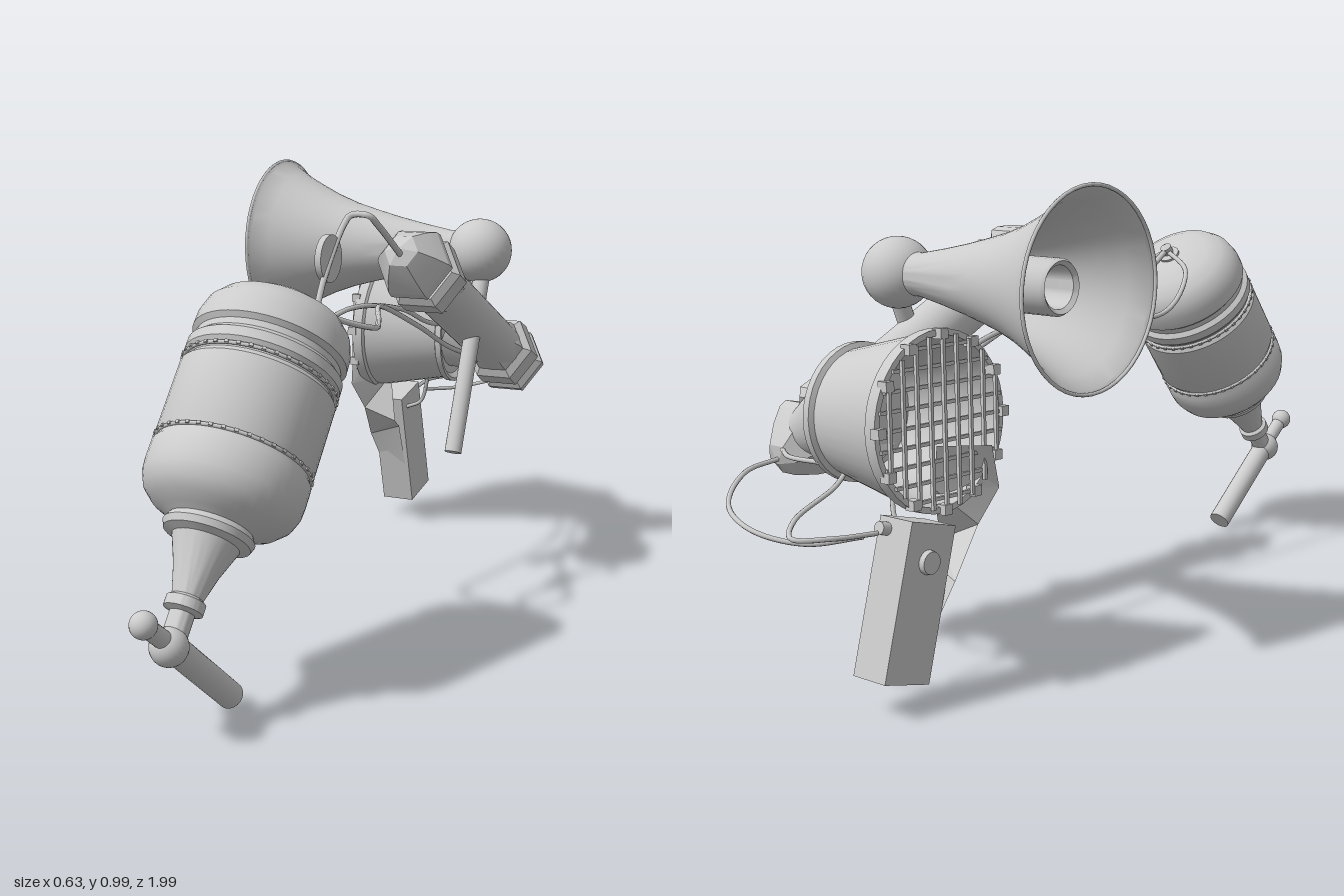
import * as THREE from 'three';
import { toCreasedNormals } from 'three/addons/utils/BufferGeometryUtils.js';

const V = (x, y, z) => new THREE.Vector3(x, y, z);
const UP = V(0, 1, 0);
const grey = new THREE.MeshStandardMaterial({ color: 0xcccccc });
const thin = new THREE.MeshStandardMaterial({ color: 0xcccccc, side: THREE.DoubleSide });

export function createModel() {
  const model = new THREE.Group();

  const add = (name, geo, pos = V(0, 0, 0), mat = grey, parent = model) => {
    const m = new THREE.Mesh(geo, mat);
    m.name = name;
    m.position.copy(pos);
    parent.add(m);
    return m;
  };
  // group whose local y axis runs from a towards b
  const axisGroup = (name, a, b) => {
    const g = new THREE.Group();
    g.name = name;
    g.position.copy(a);
    g.quaternion.setFromUnitVectors(UP, b.clone().sub(a).normalize());
    model.add(g);
    return g;
  };
  const lathe = (pts, sides = 40, crease = 0.6) =>
    toCreasedNormals(new THREE.LatheGeometry(pts.map(p => new THREE.Vector2(...p)), sides), crease);
  const rod = (name, a, b, r, r2 = r, sides = 20) => {
    const g = axisGroup(name, a, b), len = a.distanceTo(b);
    add(name, new THREE.CylinderGeometry(r2, r, len, sides), V(0, len / 2, 0), grey, g);
  };
  const ball = (name, p, r) => add(name, new THREE.SphereGeometry(r, 28, 18), p);
  const cable = (name, pts, r = 0.006, type = 'centripetal') =>
    add(name, new THREE.TubeGeometry(
      new THREE.CatmullRomCurve3(pts.map(p => V(...p)), false, type), pts.length * 10, r, 8));

  // Tank: domed bottle tapering to a nozzle
  const tank = axisGroup('tank', V(0.152, 0.18, 0.885), V(0.152, 0.777, 0.42));
  add('tankBody', lathe([
    [0, 0], [0.024, 0.02], [0.024, 0.075], [0.038, 0.08], [0.038, 0.1], [0.03, 0.106], [0.045, 0.16],
    [0.066, 0.215], [0.085, 0.222], [0.09, 0.235], [0.083, 0.247], [0.1, 0.256], [0.125, 0.268],
    [0.146, 0.288], [0.156, 0.312], [0.158, 0.335], [0.158, 0.37], [0.152, 0.38], [0.152, 0.392], [0.157, 0.4],
    [0.157, 0.54], [0.15, 0.55], [0.15, 0.562], [0.157, 0.57], [0.157, 0.59], [0.147, 0.6], [0.147, 0.613],
    [0.157, 0.622], [0.156, 0.65], [0.147, 0.68], [0.128, 0.703], [0.095, 0.721], [0.05, 0.731], [0, 0.734],
  ], 48), V(0, 0, 0), grey, tank);
  add('tankKnob', lathe([[0.026, 0.725], [0.026, 0.738], [0.014, 0.742], [0.014, 0.76], [0, 0.768]], 20),
    V(0, 0, 0), grey, tank);
  for (const s of [0.386, 0.556]) {
    const band = add('tankBand', new THREE.TorusGeometry(0.153, 0.004, 8, 48), V(0, s, 0), grey, tank);
    band.rotation.x = Math.PI / 2;
    // small studs around the band
    for (let i = 0; i < 40; i++) {
      const a = i / 40 * Math.PI * 2;
      add('stud', new THREE.BoxGeometry(0.008, 0.006, 0.008),
        V(Math.sin(a) * 0.155, s, Math.cos(a) * 0.155), grey, tank).rotation.y = a;
    }
  }

  // Crossbar handle below the nozzle
  ball('nozzleJoint', V(0.152, 0.19, 0.885), 0.037);
  ball('handleKnob', V(0.152, 0.256, 0.967), 0.026);
  rod('handleNeck', V(0.152, 0.256, 0.967), V(0.152, 0.195, 0.885), 0.018);
  rod('handleGrip', V(0.152, 0.195, 0.885), V(0.152, 0.023, 0.668), 0.027);

  // Arm: round shaft between matching six-sided end pieces
  const arm = axisGroup('arm', V(0.21, 0.629, -0.385), V(0.21, 0.829, 0.02));
  add('armShaft', lathe([[0, -0.31], [0.062, -0.3], [0.062, 0.3], [0, 0.31]], 28), V(0, 0, 0), grey, arm);
  for (const s of [1, -1]) {
    const end = new THREE.Group();
    end.name = 'armEnd';
    if (s < 0) end.rotation.x = Math.PI;
    arm.add(end);
    const hex = (name, pts) => {
      add(name, lathe(pts, 6, 0.3), V(0, 0, 0), grey, end).rotation.y = Math.PI / 2;
    };
    hex('armCollar', [[0.06, 0.19], [0.068, 0.21], [0.07, 0.235], [0.088, 0.25], [0.09, 0.3], [0.075, 0.316], [0, 0.318]]);
    hex('armCap', [[0, 0.315], [0.062, 0.316], [0.088, 0.345], [0.086, 0.365], [0.068, 0.4], [0.04, 0.438], [0, 0.453]]);
  }

  // Horn with inner return tube, held by a ball and rod
  const horn = axisGroup('horn', V(0.22, 0.783, -0.44), V(-0.32, 0.783, -0.44));
  const flare = [[0.046, 0.05], [0.047, 0.08], [0.06, 0.15], [0.075, 0.22], [0.09, 0.28], [0.105, 0.335],
    [0.125, 0.39], [0.148, 0.44], [0.172, 0.488], [0.196, 0.525]];
  add('hornBell', lathe([...flare, [0.204, 0.53], [0.205, 0.536]], 48), V(0, 0, 0), thin, horn);
  add('hornRim', new THREE.TorusGeometry(0.203, 0.004, 8, 48), V(0, 0.533, 0), grey, horn).rotation.x = Math.PI / 2;
  add('hornInnerTube', lathe([[0.045, 0.26], [0.058, 0.27], [0.058, 0.45], [0.053, 0.458], [0.044, 0.45], [0.04, 0.3], [0, 0.3]], 28),
    V(0, 0, 0), thin, horn);
  ball('hornBall', V(0.22, 0.783, -0.44), 0.077);
  rod('hornRod', V(0.23, 0.74, -0.435), V(0.23, 0.32, -0.262), 0.02);

  // Lamp with open face and wire guard
  const lamp = axisGroup('lamp', V(0.06, 0.543, -0.715), V(-0.17, 0.55, -0.71));
  add('lampShell', lathe([
    [0, 0.012], [0.118, 0.012], [0.13, 0], [0.138, 0], [0.138, 0.015], [0.128, 0.02], [0.168, 0.2], [0.175, 0.205],
    [0.175, 0.23], [0.163, 0.23], [0.158, 0.2], [0.115, 0.03], [0, 0.03],
  ], 40), V(0, 0, 0), thin, lamp);
  for (let i = -4; i <= 4; i++) {
    const o = i * 0.036, len = 2 * Math.sqrt(0.167 ** 2 - o * o);
    add('guardWire', new THREE.BoxGeometry(0.007, 0.007, len), V(o, 0.232, 0), grey, lamp);
    add('guardWire', new THREE.BoxGeometry(len, 0.007, 0.007), V(0, 0.238, o), grey, lamp);
  }
  for (let i = 0; i < 12; i++) {
    const a = i / 12 * Math.PI * 2;
    add('guardClip', new THREE.BoxGeometry(0.02, 0.022, 0.02),
      V(Math.cos(a) * 0.167, 0.232, Math.sin(a) * 0.167), grey, lamp);
  }
  rod('lampMount', V(0.055, 0.543, -0.715), V(0.2, 0.485, -0.72), 0.105, 0.05, 28);

  // Control box with knob and plug
  const box = new THREE.Group();
  box.name = 'controlBox';
  box.position.set(-0.133, 0.212, -0.78);
  box.rotation.x = 0.263;
  model.add(box);
  add('boxBody', new THREE.BoxGeometry(0.085, 0.306, 0.118), V(0, 0, 0), grey, box);
  add('boxKnob', new THREE.CylinderGeometry(0.022, 0.025, 0.018, 20), V(-0.045, 0.08, 0), grey, box).rotation.z = Math.PI / 2;
  add('boxPlug', new THREE.CylinderGeometry(0.013, 0.013, 0.03, 16), V(0.02, 0.13, -0.065), grey, box).rotation.x = Math.PI / 2;

  // Creased strap hanging from the lamp to the box
  const rows = [
    [-0.195, 0.49, -0.6, -0.135, 0.495, -0.69],
    [-0.185, 0.4, -0.57, -0.125, 0.41, -0.69],
    [-0.165, 0.33, -0.61, -0.09, 0.295, -0.64],
    [-0.188, 0.24, -0.7, -0.1, 0.27, -0.69],
    [-0.17, 0.155, -0.74, -0.1, 0.14, -0.74],
  ];
  const strap = new THREE.BufferGeometry(), idx = [];
  strap.setAttribute('position', new THREE.Float32BufferAttribute(rows.flat(), 3));
  for (let i = 0; i < rows.length - 1; i++) {
    const k = i * 2;
    idx.push(k, k + 2, k + 1, k + 1, k + 2, k + 3);
  }
  strap.setIndex(idx);
  add('strap', toCreasedNormals(strap, 0.3), V(0, 0, 0), thin);

  // Hook wire with a disc, linking tank and arm
  cable('hookWire', [[0.152, 0.775, 0.425], [0.152, 0.74, 0.37], [0.152, 0.71, 0.32], [0.15, 0.79, 0.26],
    [0.152, 0.89, 0.175], [0.162, 0.91, 0.16], [0.203, 0.91, 0.158], [0.212, 0.89, 0.135], [0.212, 0.8, -0.01]], 0.007);
  add('hookDisc', new THREE.CylinderGeometry(0.05, 0.05, 0.014, 28), V(0.145, 0.825, 0.232)).rotation.z = Math.PI / 2;

  // Long cables from the tank to the rear fittings
  cable('leftCable', [[0.152, 0.77, 0.425], [0.07, 0.73, 0.39], [0.03, 0.66, 0.29], [0.035, 0.635, 0.22],
    [0.06, 0.68, -0.05], [0.07, 0.65, -0.3], [0.05, 0.58, -0.55], [0.07, 0.56, -0.7]]);
  cable('rightCable', [[0.152, 0.77, 0.425], [0.22, 0.72, 0.35], [0.255, 0.69, 0.25], [0.2, 0.68, 0.1],
    [0.135, 0.69, -0.05], [0.14, 0.62, -0.25], [0.14, 0.54, -0.45], [0.15, 0.48, -0.65]]);
  // Rear loops
  cable('rearLoop', [[0.21, 0.44, -0.78], [0.2, 0.43, -0.88], [0.14, 0.39, -0.97], [0.05, 0.36, -0.988],
    [-0.04, 0.34, -0.94], [-0.1, 0.345, -0.85]], 0.005);
  cable('boxLoop', [[-0.115, 0.35, -0.83], [-0.11, 0.36, -0.93], [-0.065, 0.365, -0.993], [-0.025, 0.385, -0.95],
    [0, 0.42, -0.83], [0.03, 0.44, -0.77]], 0.005);
  cable('mountCable', [[0.05, 0.46, -0.82], [0.13, 0.46, -0.825], [0.21, 0.46, -0.78]], 0.005);
  cable('lowerCable', [[-0.09, 0.32, -0.72], [-0.05, 0.34, -0.72], [-0.02, 0.42, -0.7]], 0.005);
  return model;
}
